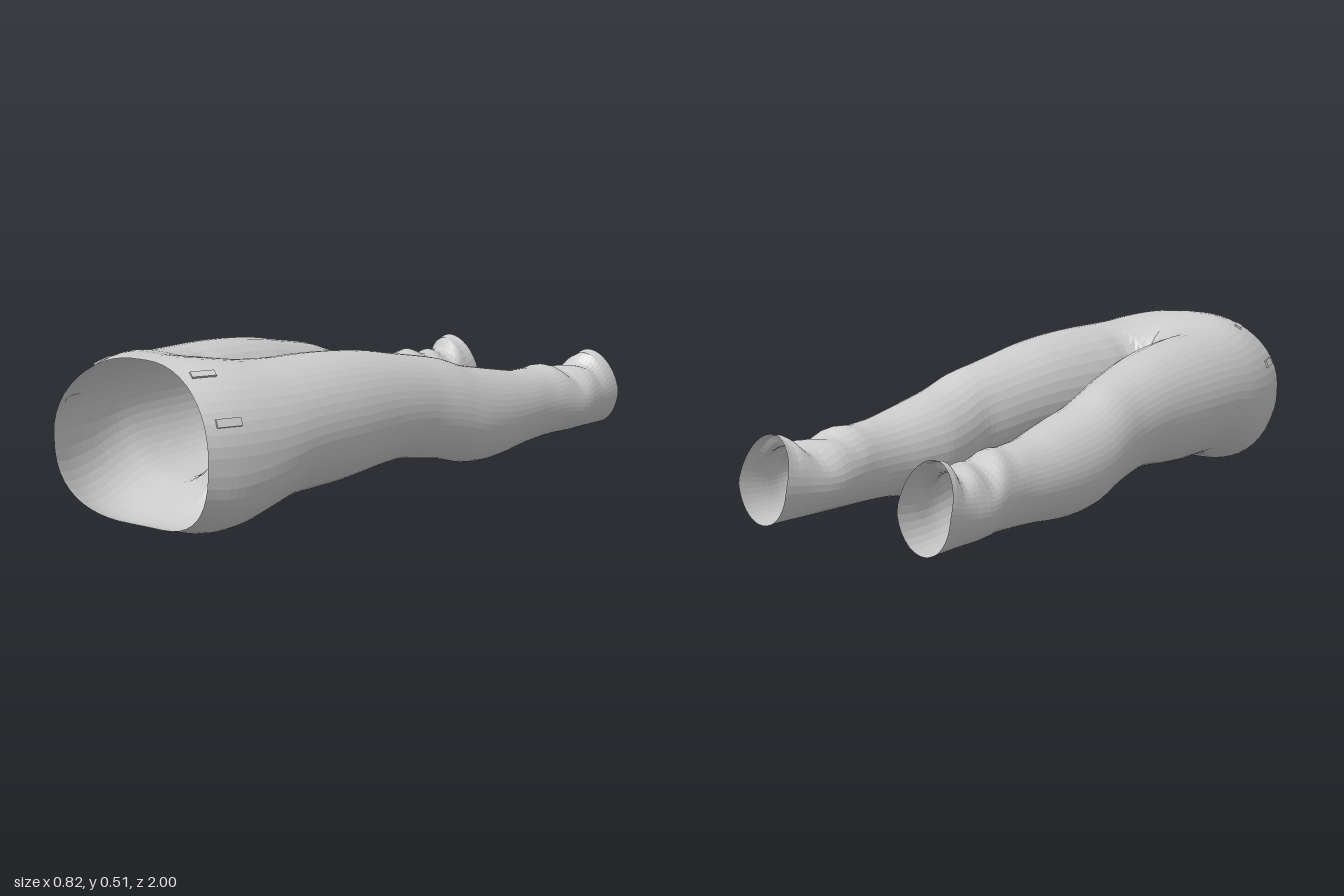
import * as THREE from 'three';

const INNER = 8, OUTER = 24, RINGS = 80;
const clamp = THREE.MathUtils.clamp, smooth = THREE.MathUtils.smoothstep;

// Sections every 0.1 from waist to cuff: outer x, inner x, axis x, top y, bottom y.
// A negative inner x means the section runs open into the other half.
const SECTIONS = [
  0.31, -1.20, 0.03, 0.505, 0.020,
  0.34, -0.90, 0.08, 0.510, 0.004,
  0.362, -0.60, 0.13, 0.503, 0.014,
  0.376, -0.20, 0.17, 0.490, 0.045,
  0.382, 0.00, 0.19, 0.487, 0.073,
  0.386, 0.022, 0.20, 0.487, 0.080,
  0.388, 0.035, 0.21, 0.484, 0.085,
  0.386, 0.050, 0.22, 0.477, 0.095,
  0.384, 0.067, 0.23, 0.465, 0.107,
  0.384, 0.088, 0.24, 0.447, 0.113,
  0.386, 0.112, 0.25, 0.430, 0.100,
  0.398, 0.138, 0.265, 0.410, 0.085,
  0.409, 0.136, 0.27, 0.378, 0.060,
  0.409, 0.133, 0.27, 0.358, 0.050,
  0.402, 0.148, 0.275, 0.340, 0.056,
  0.392, 0.167, 0.28, 0.324, 0.069,
  0.383, 0.175, 0.28, 0.320, 0.075,
  0.389, 0.170, 0.28, 0.318, 0.079,
  0.402, 0.175, 0.29, 0.295, 0.080,
  0.392, 0.195, 0.295, 0.312, 0.080,
  0.393, 0.205, 0.30, 0.345, 0.080,
];
const spline = new THREE.CubicInterpolant(
  Array.from({ length: SECTIONS.length / 5 }, (_, i) => i), SECTIONS, 5, new Float32Array(5));

// One section, from the inner bottom round the outside to the inner top
function ring(z) {
  const [xo, xi, cx, top, bottom] = spline.evaluate(clamp((1 - z) * 10, 0, 20));
  const ri = cx - xi, ro = xo - cx, cy = (top + bottom) / 2, h = (top - bottom) / 2;
  const flat = 2 / (2 + 0.6 * smooth(z, 0.6, 0.95));   // seat is squarer underneath
  const points = [];
  const add = (dx, dy) => {
    const x = Math.max(0, cx + dx);
    let y = cy + h * dy, zz = z;
    // cloth folds above the cuff
    const fold = smooth(-z, 0.55, 0.8) * smooth(dy, 0, 0.8) * (1 - smooth(-z, 0.93, 1));
    y += 0.011 * fold * Math.sin(45 * z + 22 * x);
    // waist dips at the middle, cuff slants forward at the top
    zz -= 0.05 * (1 - (x / 0.31) ** 2) * clamp((z - 0.8) / 0.2, 0, 1);
    zz += 0.05 * clamp((y - 0.2) / 0.145, 0, 1) * smooth(-z, 0.85, 1);
    points.push(new THREE.Vector3(x, y, zz));
  };
  const inner = (p, sign, k) => {
    const end = Math.asin(Math.min(1, (cx / ri) ** (1 / p)));
    const u = end * k / INNER;
    add(-ri * Math.sin(u) ** p, sign * Math.max(0, Math.cos(u)) ** p);
  };
  for (let k = INNER; k > 0; k--) inner(flat, -1, k);
  for (let k = 0; k <= OUTER; k++) {
    const t = Math.PI * (k / OUTER - 0.5), p = t < 0 ? flat : 1;
    add(ro * Math.max(0, Math.cos(t)) ** p, Math.sign(t) * Math.abs(Math.sin(t)) ** p);
  }
  for (let k = 1; k <= INNER; k++) inner(1, 1, k);
  return points;
}

// Skin of one half: hip and leg, mirrored by side
function halfGeometry(side) {
  const pos = [], index = [], n = 2 * INNER + OUTER + 1;
  for (let i = 0; i <= RINGS; i++)
    for (const p of ring(1 - 2 * i / RINGS)) pos.push(side * p.x, p.y, p.z);
  for (let i = 0; i < RINGS; i++)
    for (let j = 0; j < n - 1; j++) {
      const a = i * n + j, b = a + 1, c = a + n, d = c + 1;
      if (side > 0) index.push(a, c, b, b, c, d);
      else index.push(a, b, c, b, d, c);
    }
  const g = new THREE.BufferGeometry();
  g.setAttribute('position', new THREE.Float32BufferAttribute(pos, 3));
  g.setIndex(index);
  g.computeVertexNormals();
  return g;
}

export function createModel() {
  const group = new THREE.Group();
  group.name = 'trousers';
  const cloth = new THREE.MeshStandardMaterial({ color: 0xcccccc, flatShading: true, side: THREE.DoubleSide });

  for (const side of [1, -1]) {
    const name = side > 0 ? 'left' : 'right';
    const leg = new THREE.Mesh(halfGeometry(side), cloth);
    leg.name = name + 'Leg';
    group.add(leg);

    // Belt loops at the front and the hip, lying on the waist
    const front = ring(0.96), back = ring(0.88);
    for (const k of [INNER + 20, INNER + 15]) {
      const a = front[k], b = back[k];
      const along = a.clone().sub(b), length = along.length();
      along.normalize();
      const across = front[k - 1].clone().sub(front[k + 1]);
      const out = along.clone().cross(across).normalize();
      if (out.y < 0) out.negate();
      across.crossVectors(out, along);
      const loop = new THREE.Group();
      const box = new THREE.Mesh(new THREE.BoxGeometry(0.025, 0.006, length), cloth);
      box.name = name + 'BeltLoop';
      box.quaternion.setFromRotationMatrix(new THREE.Matrix4().makeBasis(across, out, along));
      box.position.copy(a).add(b).multiplyScalar(0.5).addScaledVector(out, 0.002);
      loop.name = name + 'BeltLoopMount';
      loop.scale.x = side;
      loop.add(box);
      group.add(loop);
    }
  }
  return group;
}
